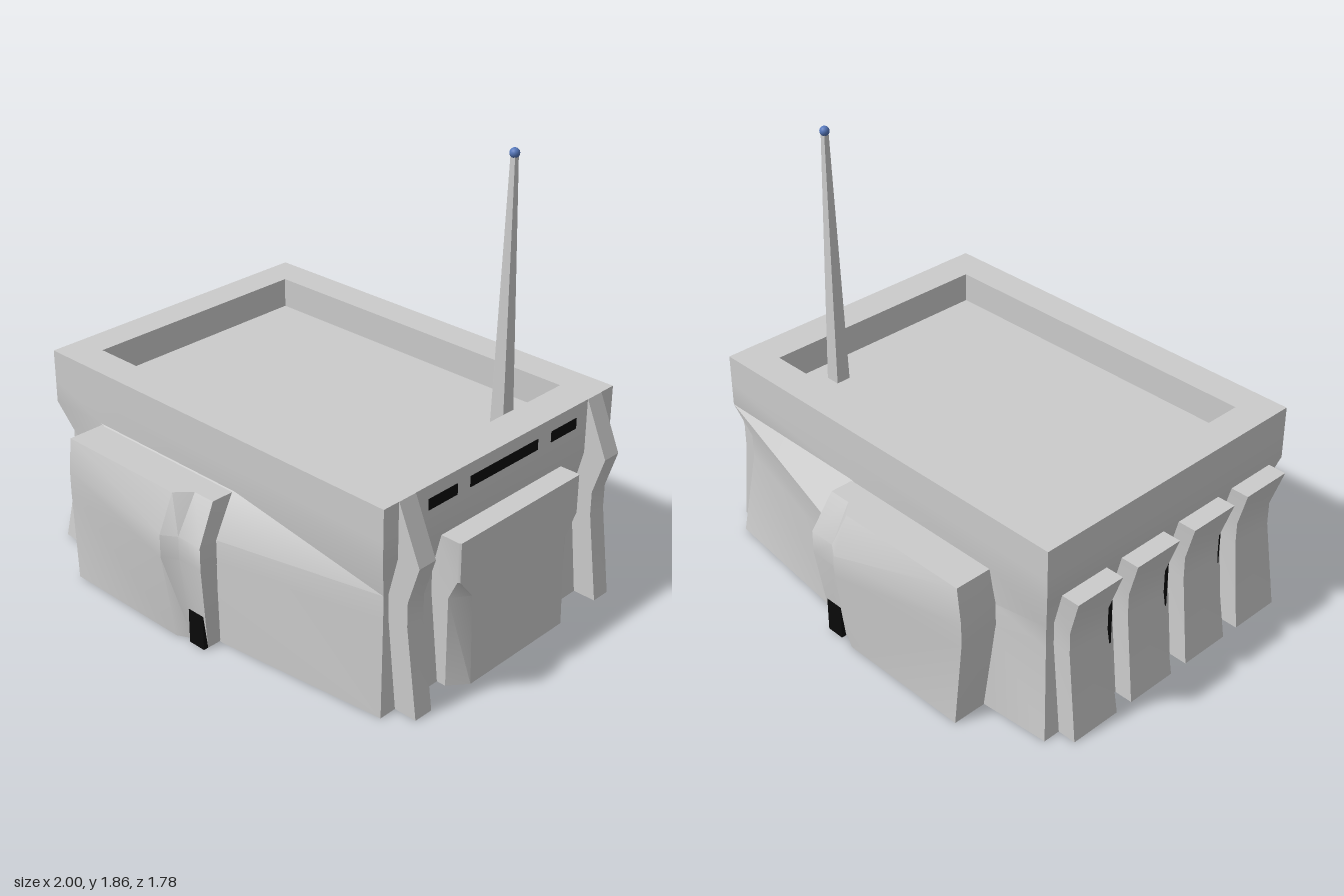
import * as THREE from 'three';
import { toCreasedNormals } from 'three/addons/utils/BufferGeometryUtils.js';

const grey = new THREE.MeshStandardMaterial({ color: 0xcccccc, side: THREE.DoubleSide });
const black = new THREE.MeshStandardMaterial({ color: 0x0a0a0a, side: THREE.DoubleSide });
const blue = new THREE.MeshStandardMaterial({ color: 0x5577bb });

// Skin between outlines of [x, z] corners, listed from the top level down
function loft(levels, capped) {
  const pos = [], index = [], n = levels[0].ring.length;
  for (const { y, ring } of levels) for (const [x, z] of ring) pos.push(x, y, z);
  for (let l = 0; l < levels.length - 1; l++) {
    for (let i = 0; i < n; i++) {
      const j = (i + 1) % n, a = l * n + i, d = l * n + j;
      index.push(a, a + n, d + n, a, d + n, d);
    }
  }
  if (capped) for (let i = 1; i < n - 1; i++) index.push(0, i, i + 1);
  const g = new THREE.BufferGeometry();
  g.setAttribute('position', new THREE.Float32BufferAttribute(pos, 3));
  g.setIndex(index);
  return toCreasedNormals(g, 0.6);
}

const rect = (xa, xb, za, zb) => [[xa, zb], [xb, zb], [xb, za], [xa, za]];

export function createModel() {
  const model = new THREE.Group();
  const add = (name, geometry, material = grey, x = 0, y = 0, z = 0) => {
    const m = new THREE.Mesh(geometry, material);
    m.name = name;
    m.position.set(x, y, z);
    model.add(m);
    return m;
  };

  // Waisted walls, open below: y, left x, right x, corner z, z left and right of the bay
  const walls = [
    [0.74, -0.92, 0.90, 0.66, 0.66, 0.66],
    [0.64, -0.92, 0.90, 0.66, 0.66, 0.66],
    [0.48, -0.87, 0.86, 0.61, 0.65, 0.77],
    [0.38, -0.87, 0.86, 0.61, 0.65, 0.77],
    [0.00, -0.92, 0.90, 0.66, 0.68, 0.74],
  ].map(([y, xl, xr, zc, z1, z2]) => {
    const front = [[xl, zc], [-0.64, z1], [0.15, z2], [xr, zc]];
    const back = front.map(([x, z]) => [x, -z]).reverse();
    return { y, ring: [...front, ...back] };
  });
  add('walls', loft(walls));

  // Roof parapet around a sunken deck
  const rim = new THREE.Shape([[-0.92, -0.66], [0.9, -0.66], [0.9, 0.66], [-0.92, 0.66]]
    .map(([x, y]) => new THREE.Vector2(x, y)));
  rim.holes.push(new THREE.Path([[-0.78, -0.52], [-0.78, 0.52], [0.75, 0.52], [0.75, -0.52]]
    .map(([x, y]) => new THREE.Vector2(x, y))));
  const parapet = new THREE.ExtrudeGeometry(rim, { depth: 0.13, bevelEnabled: false });
  parapet.rotateX(-Math.PI / 2);
  add('roofParapet', parapet, grey, 0, 0.74, 0);
  const deck = new THREE.PlaneGeometry(1.53, 1.04).rotateX(-Math.PI / 2);
  add('roofDeck', deck, grey, -0.015, 0.74, 0);

  // Side bays: y, left x, left z, bulge z, recess z, right x
  const bay = [
    [0.635, -0.63, 0.82, 0.82, 0.76, 0.14],
    [0.48, -0.65, 0.82, 0.89, 0.85, 0.16],
    [0.38, -0.65, 0.82, 0.89, 0.85, 0.16],
    [0.00, -0.62, 0.83, 0.83, 0.80, 0.13],
  ].map(([y, xl, zl, za, zb, xr]) => ({
    y, ring: [[xl, 0.62], [xl, zl], [-0.02, za], [0.04, zb], [xr, zb], [xr, 0.62]],
  }));
  const bayGeometry = loft(bay, true);
  const hatch = new THREE.BoxGeometry(0.08, 0.15, 0.03);
  for (const s of [1, -1]) {
    add(s > 0 ? 'frontBay' : 'backBay', bayGeometry).scale.z = s;
    add('bayHatch', hatch, black, 0.09, 0.075, s * 0.807);
  }

  // Door block with chamfered lower corners
  const door = [
    [0.635, 0.98, 0.99, 0.345],
    [0.47, 0.98, 0.99, 0.345],
    [0.385, 0.94, 0.99, 0.275],
    [0.00, 0.94, 1.00, 0.275],
  ].map(([y, xs, xf, hw]) => ({
    y, ring: [[0.85, 0.35], [xs, 0.35], [xf, hw], [xf, -hw], [xs, -0.35], [0.85, -0.35]],
  }));
  add('doorBlock', loft(door, true));

  // Pinched buttresses beside the door
  const buttress = loft([
    [0.87, 0.901], [0.64, 1.0], [0.48, 0.95], [0.38, 0.95], [0, 1.0],
  ].map(([y, x]) => ({ y, ring: rect(0.84, x, -0.043, 0.043) })), true);
  for (const z of [0.54, -0.54]) add('doorButtress', buttress, grey, 0, 0, z);

  // Row of pinched buttresses on the opposite end
  const pillar = loft([
    [0.64, -1.0, 0.115], [0.48, -0.95, 0.1], [0.38, -0.95, 0.1], [0, -1.0, 0.115],
  ].map(([y, x, hw]) => ({ y, ring: rect(x, -0.86, -hw, hw) })), true);
  for (const z of [-0.47, -0.16, 0.155, 0.465]) add('endButtress', pillar, grey, 0, 0, z);

  // Dark slots between the end buttresses
  const slot = new THREE.BoxGeometry(0.02, 0.56, 0.07);
  for (const z of [-0.315, 0, 0.31]) add('endSlot', slot, black, -0.88, 0.3, z);

  // Vents above the door
  for (const [z, w] of [[0.35, 0.155], [0.005, 0.39], [-0.35, 0.155]]) {
    add('vent', new THREE.BoxGeometry(0.01, 0.045, w), black, 0.898, 0.793, z);
  }

  // Tapered square mast with a ball tip
  const mast = new THREE.CylinderGeometry(0.015, 0.045, 1.1, 4).rotateY(Math.PI / 4);
  mast.computeVertexNormals();
  add('antennaMast', toCreasedNormals(mast, 0.6), grey, 0.63, 1.29, -0.315);
  add('antennaTip', new THREE.SphereGeometry(0.02, 16, 12), blue, 0.63, 1.84, -0.315);

  return model;
}
